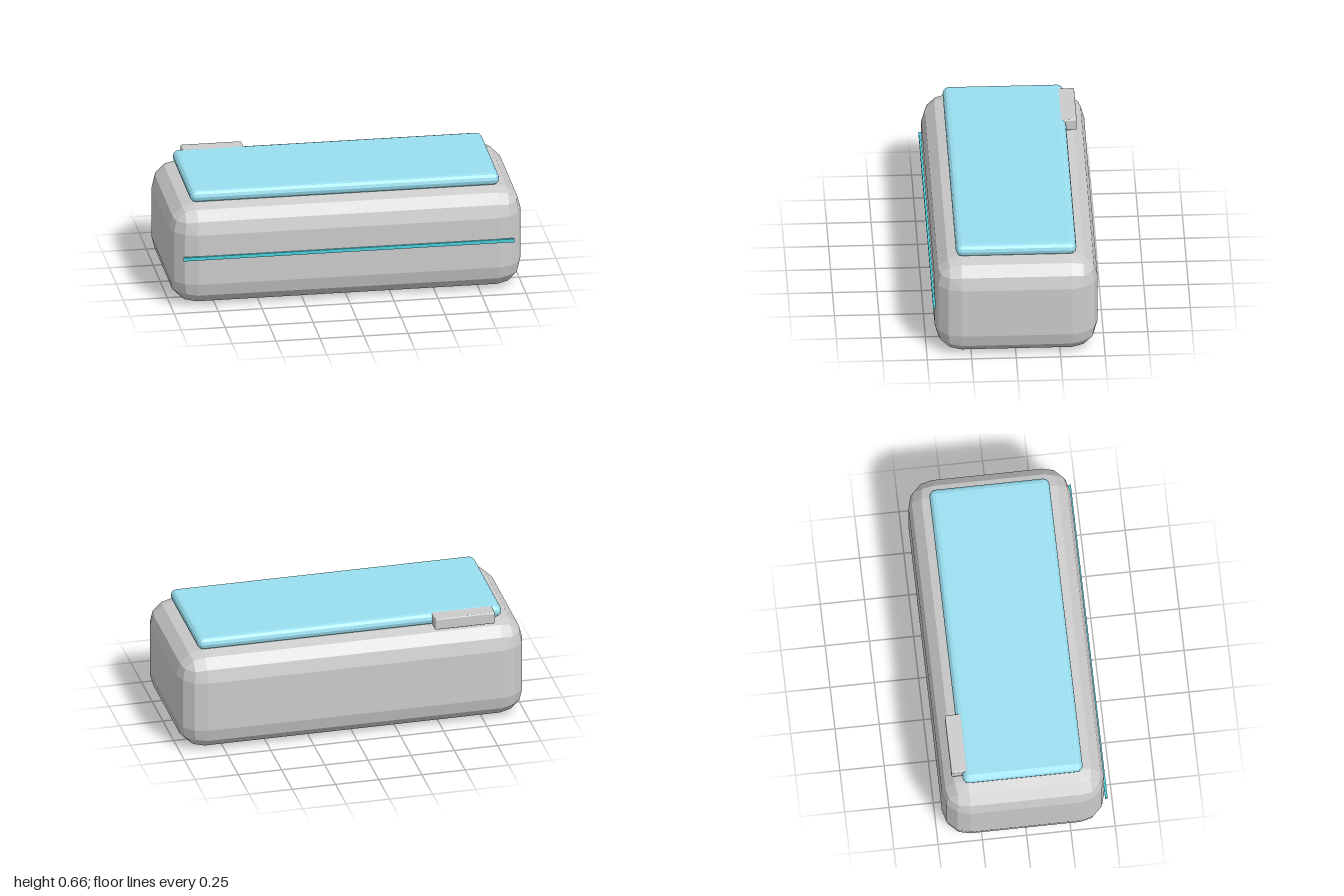
import * as THREE from 'three';
import { ConvexGeometry } from 'three/addons/geometries/ConvexGeometry.js';

// Directions of a three-step bevel within one octant of a corner
const seeds = [[1, 0, 0], [0.866, 0.5, 0], [0.5, 0.866, 0], [0.78, 0.442, 0.442]];
const octant = seeds.flatMap(([a, b, c]) => [[a, b, c], [c, a, b], [b, c, a]]);

// Box between two corners with three-step bevelled edges of radius r
function bevelledBox(name, min, max, r, material) {
  const size = max.map((v, i) => v - min[i]);
  const points = [];
  for (const sx of [-1, 1]) for (const sy of [-1, 1]) for (const sz of [-1, 1]) {
    for (const d of octant) {
      const [x, y, z] = [sx, sy, sz].map((s, i) => s * (size[i] / 2 - r + r * d[i]));
      points.push(new THREE.Vector3(x, y, z));
    }
  }
  const mesh = new THREE.Mesh(new ConvexGeometry(points), material);
  mesh.name = name;
  mesh.position.set(...min.map((v, i) => (v + max[i]) / 2));
  return mesh;
}

export function createModel() {
  const group = new THREE.Group();
  group.name = 'case';
  const grey = new THREE.MeshStandardMaterial({ color: 0xcccccc, flatShading: true });
  const blue = new THREE.MeshStandardMaterial({ color: 0x9adff0, flatShading: true });
  const teal = new THREE.MeshStandardMaterial({ color: 0x48d0dc, flatShading: true });

  // Main body, lid slab and rear clip
  group.add(bevelledBox('body', [-1, 0, -0.463], [1, 0.59, 0.453], 0.147, grey));
  group.add(bevelledBox('lid', [-0.88, 0.59, -0.345], [0.88, 0.66, 0.333], 0.0345, blue));
  group.add(bevelledBox('clip', [-0.822, 0.59, -0.405], [-0.475, 0.658, -0.3], 0.007, grey));

  // Thin strip across the front
  const strip = new THREE.Mesh(new THREE.BoxGeometry(1.88, 0.02, 0.014), teal);
  strip.name = 'frontStrip';
  strip.position.set(0, 0.308, 0.457);
  group.add(strip);

  return group;
}
